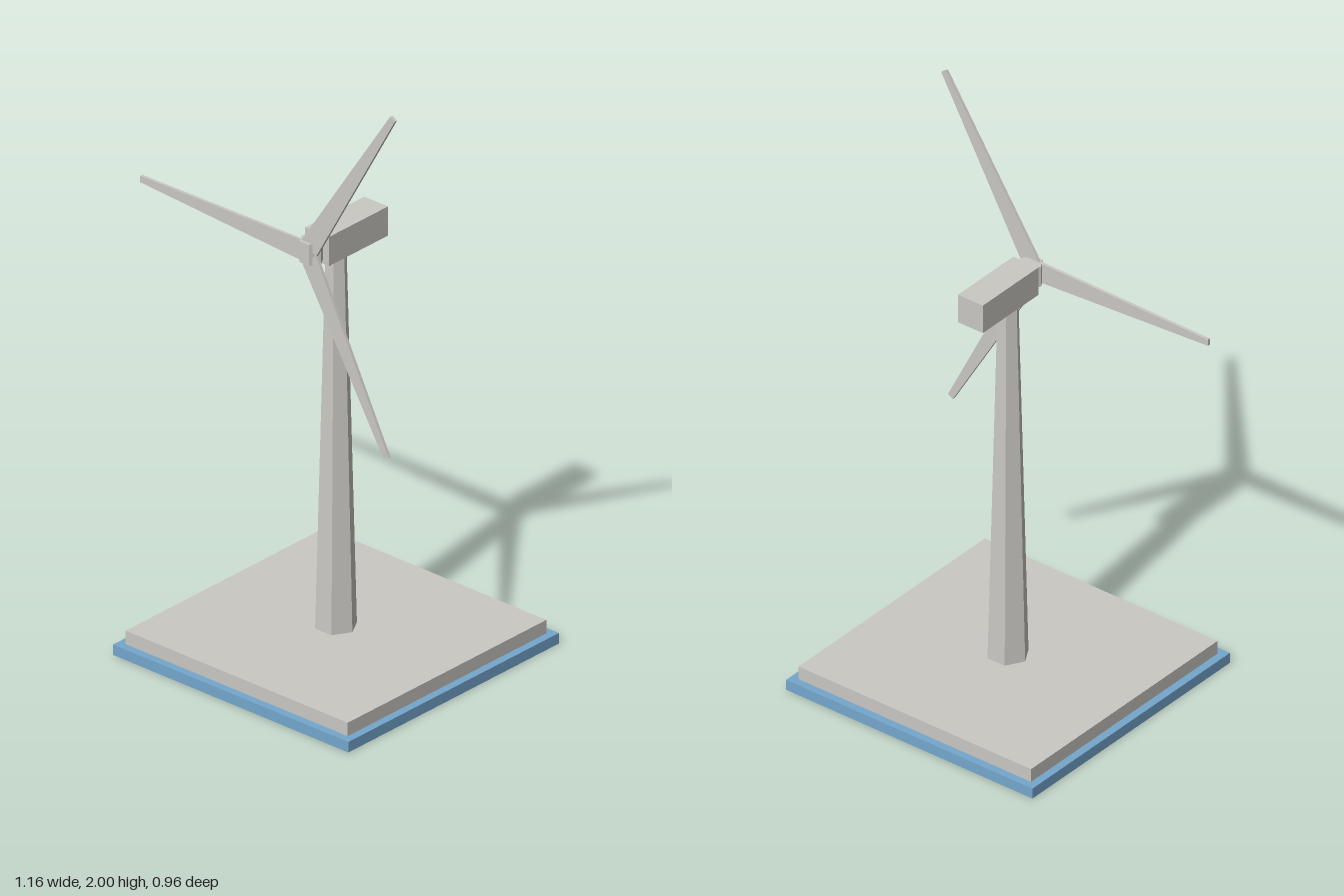
import * as THREE from 'three';

export function createModel() {
  const group = new THREE.Group();
  const grey = new THREE.MeshStandardMaterial({ color: 0xcac8c3 });
  grey.name = 'warm grey';
  grey.flatShading = true;
  const blue = new THREE.MeshStandardMaterial({ color: 0x75a7cd });
  blue.name = 'blue';
  blue.flatShading = true;

  const axisX = 0.098; // tower and rotor axis
  const hubY = 1.415;

  function add(name, geometry, material, x, y, z) {
    const mesh = new THREE.Mesh(geometry, material);
    mesh.name = name;
    mesh.position.set(x, y, z);
    group.add(mesh);
    return mesh;
  }

  // Hexagonal prism with corners pointing to the sides
  const hexagon = (top, bottom, height) =>
    new THREE.CylinderGeometry(top, bottom, height, 6).rotateY(Math.PI / 6);

  // Stepped square base
  add('lowerBase', new THREE.BoxGeometry(0.96, 0.036, 0.96), blue, axisX, 0.018, 0);
  add('upperBase', new THREE.BoxGeometry(0.906, 0.046, 0.906), grey, axisX, 0.059, 0);

  // Tapered tower
  add('tower', hexagon(0.034, 0.067, 1.285), grey, axisX, 0.7235, 0);

  // Nacelle and hub
  add('nacelle', new THREE.BoxGeometry(0.097, 0.1, 0.27), grey, axisX, hubY, -0.048);
  add('hub', hexagon(0.039, 0.039, 0.072), grey, axisX, hubY, 0.112);

  // Three tapered blades
  const bladeShape = new THREE.Shape([
    new THREE.Vector2(0.02, -0.035),
    new THREE.Vector2(0.678, -0.011),
    new THREE.Vector2(0.678, 0.011),
    new THREE.Vector2(0.02, 0.035),
  ]);
  const bladeGeometry = new THREE.ExtrudeGeometry(bladeShape, { depth: 0.01, bevelEnabled: false });
  for (let i = 0; i < 3; i++) {
    const blade = add('blade' + (i + 1), bladeGeometry, grey, axisX, hubY, 0.126);
    blade.rotation.z = THREE.MathUtils.degToRad(58.7 + i * 120);
  }

  return group;
}
